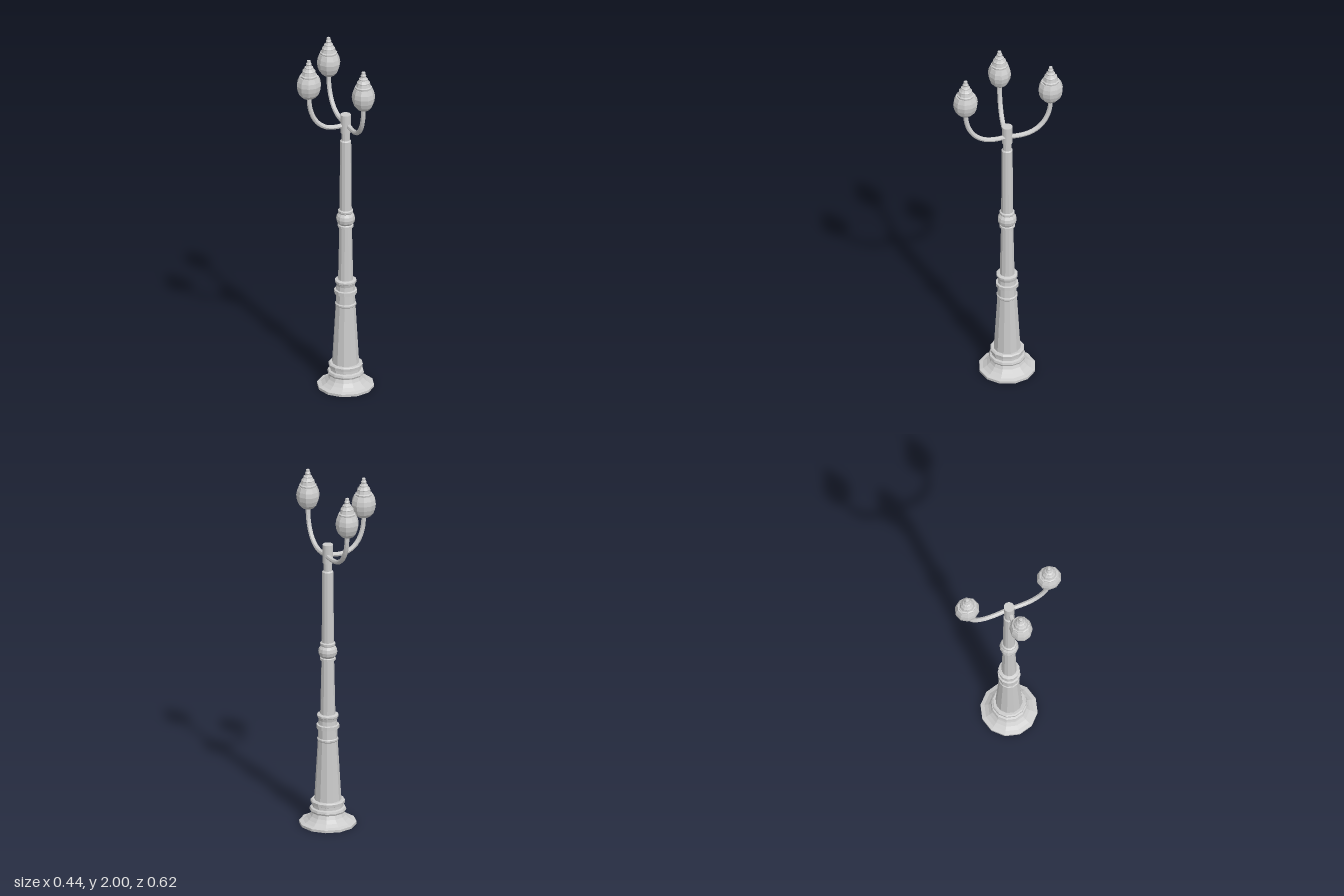
import * as THREE from 'three';

const grey = new THREE.MeshStandardMaterial({ color: 0xcccccc, flatShading: true });
const POLE_X = 0.06, POLE_Z = 0.004;

function add(parent, name, geometry) {
  const mesh = new THREE.Mesh(geometry, grey);
  mesh.name = name;
  parent.add(mesh);
  return mesh;
}

// Turned part from [radius, height] pairs, bottom to top
function turned(parent, name, profile, sides) {
  const points = profile.map(([r, y]) => new THREE.Vector2(r, y));
  return add(parent, name, new THREE.LatheGeometry(points, sides));
}

// Lantern: globe slightly stretched along the arm (local z), with a round cap
function makeLantern(x, z, angle) {
  const lantern = new THREE.Group();
  lantern.name = 'lantern';
  lantern.position.set(x, 0, z);
  lantern.rotation.y = angle;
  const globe = turned(lantern, 'globe', [
    [0, 1.775], [0.034, 1.776], [0.05, 1.795], [0.06, 1.822],
    [0.064, 1.85], [0.06, 1.875], [0.05, 1.9], [0, 1.902],
  ], 10);
  globe.scale.z = 1.09;
  turned(lantern, 'cap', [
    [0, 1.898], [0.047, 1.898], [0.048, 1.91], [0.041, 1.914], [0.036, 1.932],
    [0.037, 1.936], [0.031, 1.942], [0.024, 1.953], [0.025, 1.958], [0.018, 1.962],
    [0.014, 1.97], [0.016, 1.978], [0.011, 1.986], [0.01, 1.998], [0, 2],
  ], 10);
  return lantern;
}

// Swept arm from the collar out and up into a lantern
function makeArm(parent, start, end) {
  const path = [[0, 1.578], [0.3, 1.573], [0.55, 1.583], [0.77, 1.617],
    [0.91, 1.667], [0.98, 1.722], [1, 1.785]];
  const curve = new THREE.CatmullRomCurve3(path.map(([t, y]) => new THREE.Vector3(
    THREE.MathUtils.lerp(start[0], end[0], t), y,
    THREE.MathUtils.lerp(start[1], end[1], t))));
  add(parent, 'arm', new THREE.TubeGeometry(curve, 16, 0.0135, 8));
}

export function createModel() {
  const model = new THREE.Group();
  model.name = 'streetLamp';

  const post = new THREE.Group();
  post.name = 'post';
  post.position.set(POLE_X, 0, POLE_Z);
  model.add(post);

  // Flared foot with two rings
  turned(post, 'base', [
    [0, 0], [0.158, 0], [0.158, 0.014], [0.136, 0.02], [0.115, 0.034], [0.098, 0.052],
    [0.088, 0.072], [0.098, 0.076], [0.102, 0.086], [0.098, 0.098], [0.086, 0.102],
    [0.085, 0.118], [0.094, 0.122], [0.095, 0.138], [0.088, 0.144], [0, 0.144],
  ], 12);
  // Tapered lower column, bead and double collar
  turned(post, 'lowerColumn', [
    [0.075, 0.14], [0.055, 0.488], [0.059, 0.493], [0.059, 0.502], [0.054, 0.507],
    [0.052, 0.56], [0.063, 0.562], [0.063, 0.583], [0.053, 0.586], [0.051, 0.61],
    [0.055, 0.626], [0.06, 0.63], [0.06, 0.641], [0.044, 0.646], [0, 0.646],
  ], 12);
  // Middle shaft with its round knop
  turned(post, 'middleShaft', [
    [0.042, 0.64], [0.035, 0.96], [0.044, 0.963], [0.044, 0.975], [0.039, 0.98],
    [0.049, 0.993], [0.053, 1.012], [0.049, 1.031], [0.038, 1.046],
    [0.042, 1.051], [0.042, 1.062], [0.034, 1.067], [0, 1.067],
  ], 12);
  // Upper shaft and narrow neck
  turned(post, 'upperShaft', [
    [0.034, 1.06], [0.031, 1.47], [0.031, 1.48], [0.024, 1.487], [0.024, 1.54],
  ], 12);
  const collar = add(post, 'collar', new THREE.CylinderGeometry(0.029, 0.029, 0.108, 24));
  collar.position.y = 1.586;

  // Three arms, each with a lantern: arm start, lantern centre (x, z)
  const branches = [
    { start: [0.07, 0.004], end: [0.066, 0.2425] },
    { start: [0.07, 0.004], end: [0.062, -0.243] },
    { start: [0.055, 0.006], end: [-0.152, -0.011] },
  ];
  for (const { start, end } of branches) {
    makeArm(model, start, end);
    model.add(makeLantern(...end, Math.atan2(end[0] - start[0], end[1] - start[1])));
  }
  return model;
}
